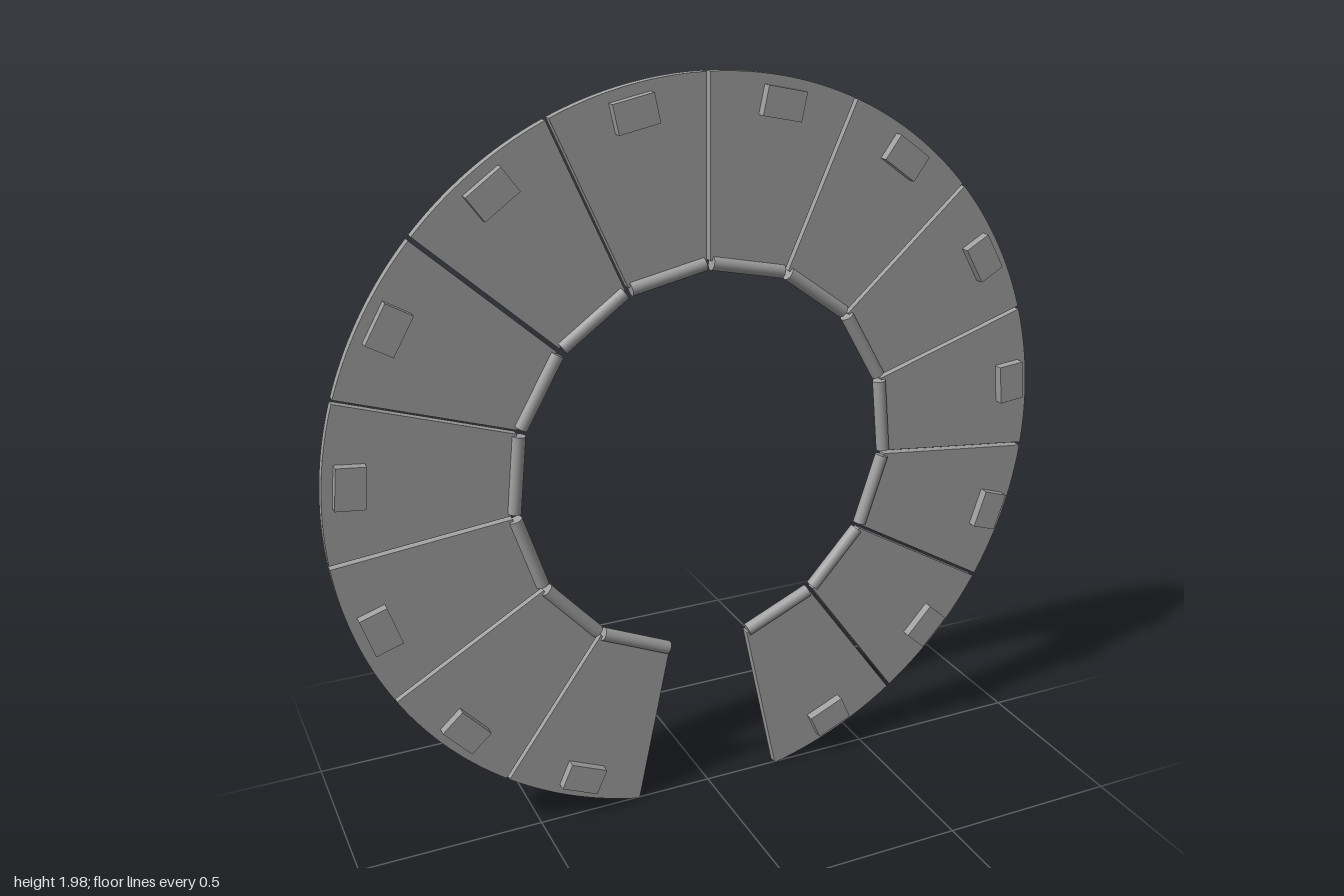
import * as THREE from 'three';

const COUNT = 14;                       // fifteenth position is left open at the bottom
const STEP = THREE.MathUtils.degToRad(24);
const R_OUT = 1, R_IN = 0.54, HALF_GAP = 0.005;
const CENTRE_Y = 0.977;

export function createModel() {
  const grey = new THREE.MeshStandardMaterial({ color: 0xa0a0a0 });
  grey.name = 'grey';

  // Sector plate centred on +y, with parallel gaps to its neighbours
  const aOut = STEP / 2 - Math.asin(HALF_GAP / R_OUT);
  const aIn = STEP / 2 - Math.asin(HALF_GAP / R_IN);
  const up = Math.PI / 2;
  const sector = new THREE.Shape();
  sector.absarc(0, 0, R_OUT, up - aOut, up + aOut, false);
  sector.absarc(0, 0, R_IN, up + aIn, up - aIn, true);
  sector.closePath();
  const plateGeo = new THREE.ExtrudeGeometry(sector, { depth: 0.025, bevelEnabled: false, curveSegments: 16 });
  plateGeo.translate(0, 0, -0.02);

  // Round bar along the inner edge
  const barGeo = new THREE.CylinderGeometry(0.018, 0.018, 0.204, 20);
  barGeo.rotateZ(Math.PI / 2);
  barGeo.translate(0, 0.524, 0.002);

  // Raised block near the rim
  const blockGeo = new THREE.BoxGeometry(0.108, 0.074, 0.03);
  blockGeo.translate(0, 0.936, 0.015);

  // Small peg for the back
  const pegGeo = new THREE.CylinderGeometry(0.011, 0.011, 0.02, 16);
  pegGeo.rotateX(Math.PI / 2);

  const ring = new THREE.Group();
  ring.name = 'segmentedRing';
  ring.position.y = CENTRE_Y;

  const add = (parent, geo, name) => {
    const mesh = new THREE.Mesh(geo, grey);
    mesh.name = name;
    parent.add(mesh);
    return mesh;
  };

  for (let i = 0; i < COUNT; i++) {
    const segment = new THREE.Group();
    segment.name = 'segment' + (i + 1);
    segment.rotation.z = (i - (COUNT - 1) / 2) * STEP;
    add(segment, plateGeo, 'plate');
    add(segment, barGeo, 'innerBar');
    add(segment, blockGeo, 'frontBlock');
    // Pegs sit just inside both outer corners
    for (const side of [-1, 1]) {
      const a = STEP / 2, r = 0.968, inset = 0.021;
      const peg = add(segment, pegGeo, 'backPeg');
      peg.position.set(
        side * (r * Math.sin(a) - inset * Math.cos(a)),
        r * Math.cos(a) + inset * Math.sin(a),
        -0.02
      );
    }
    ring.add(segment);
  }

  const model = new THREE.Group();
  model.name = 'model';
  model.add(ring);
  return model;
}
